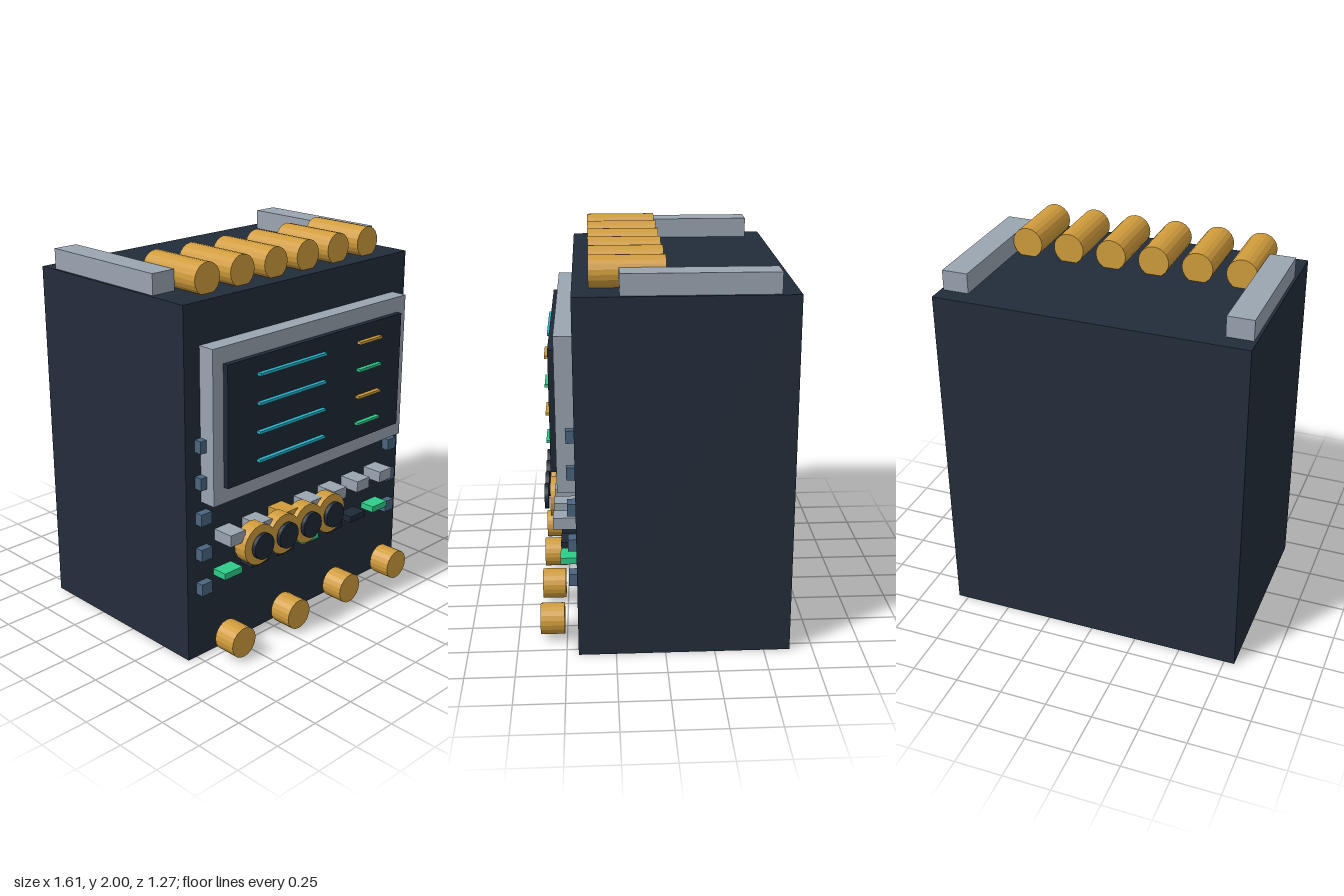
import * as THREE from 'three';

const mat = (name, color) => {
  const m = new THREE.MeshStandardMaterial({ color });
  m.name = name;
  return m;
};

export function createModel() {
  const navy = mat('navy casing', 0x222d3b);
  const dark = mat('dark glass', 0x1f2936);
  const grey = mat('light grey', 0x9aa5b1);
  const amber = mat('amber', 0xd09c3c);
  amber.flatShading = true;
  const cyan = mat('cyan', 0x28b4cc);
  const green = mat('green', 0x2ecc8a);
  const slate = mat('slate blue', 0x4a6580);

  const model = new THREE.Group();
  model.name = 'controlUnit';

  const add = (name, geometry, material, x, y, z) => {
    const mesh = new THREE.Mesh(geometry, material);
    mesh.name = name;
    mesh.position.set(x, y, z);
    model.add(mesh);
  };
  // Box centred on x and y, spanning z0 to z1
  const box = (name, material, x, y, w, h, z0, z1) =>
    add(name, new THREE.BoxGeometry(w, h, z1 - z0), material, x, y, (z0 + z1) / 2);
  // Cylinder lying along z, spanning z0 to z1
  const barrel = (name, material, x, y, r, z0, z1) =>
    add(name, new THREE.CylinderGeometry(r, r, z1 - z0, 20).rotateX(Math.PI / 2),
      material, x, y, (z0 + z1) / 2);

  // Casing
  box('casing', navy, 0, 0.925, 1.61, 1.85, -0.633, 0.44);

  // Rails and barrels on top
  for (const s of [-1, 1]) box('topRail', grey, s * 0.723, 1.9, 0.135, 0.11, -0.54, 0.215);
  for (let i = 0; i < 6; i++) barrel('topBarrel', amber, (i - 2.5) * 0.231, 1.92, 0.081, -0.01, 0.36);

  // Screen with its frame and readout lines
  box('screenFrame', grey, 0, 1.243, 1.414, 0.794, 0.44, 0.53);
  box('screen', dark, 0, 1.244, 1.28, 0.626, 0.53, 0.56);
  for (let i = 0; i < 4; i++) {
    const y = 1.468 - i * 0.148;
    box('longReadout', cyan, -0.207, y, 0.474, 0.014, 0.56, 0.582);
    box('shortReadout', i % 2 ? green : amber, 0.373, y, 0.174, 0.014, 0.56, 0.584);
  }

  // Side buttons
  for (const s of [-1, 1]) {
    for (let i = 0; i < 5; i++) box('sideButton', slate, s * 0.71, 1.149 - i * 0.19, 0.07, 0.064, 0.44, 0.482);
  }

  // Key row and indicator row
  for (let i = 0; i < 7; i++) {
    const x = (i - 3) * 0.19;
    box('key', i === 2 ? amber : grey, x, 0.642, 0.1, 0.062, 0.44, 0.557);
    box('indicator', i % 3 ? dark : green, x, 0.439, 0.12, 0.034, 0.44, 0.525);
  }

  // Dials with dark caps
  for (let i = 0; i < 4; i++) {
    const x = -0.442 + i * 0.177;
    barrel('dial', amber, x, 0.575, 0.108, 0.51, 0.584);
    barrel('dialCap', dark, x, 0.575, 0.069, 0.594, 0.616);
  }

  // Lower knobs
  for (let i = 0; i < 4; i++) barrel('lowerKnob', amber, (i - 1.5) * 0.403, 0.104, 0.081, 0.51, 0.634);

  return model;
}
